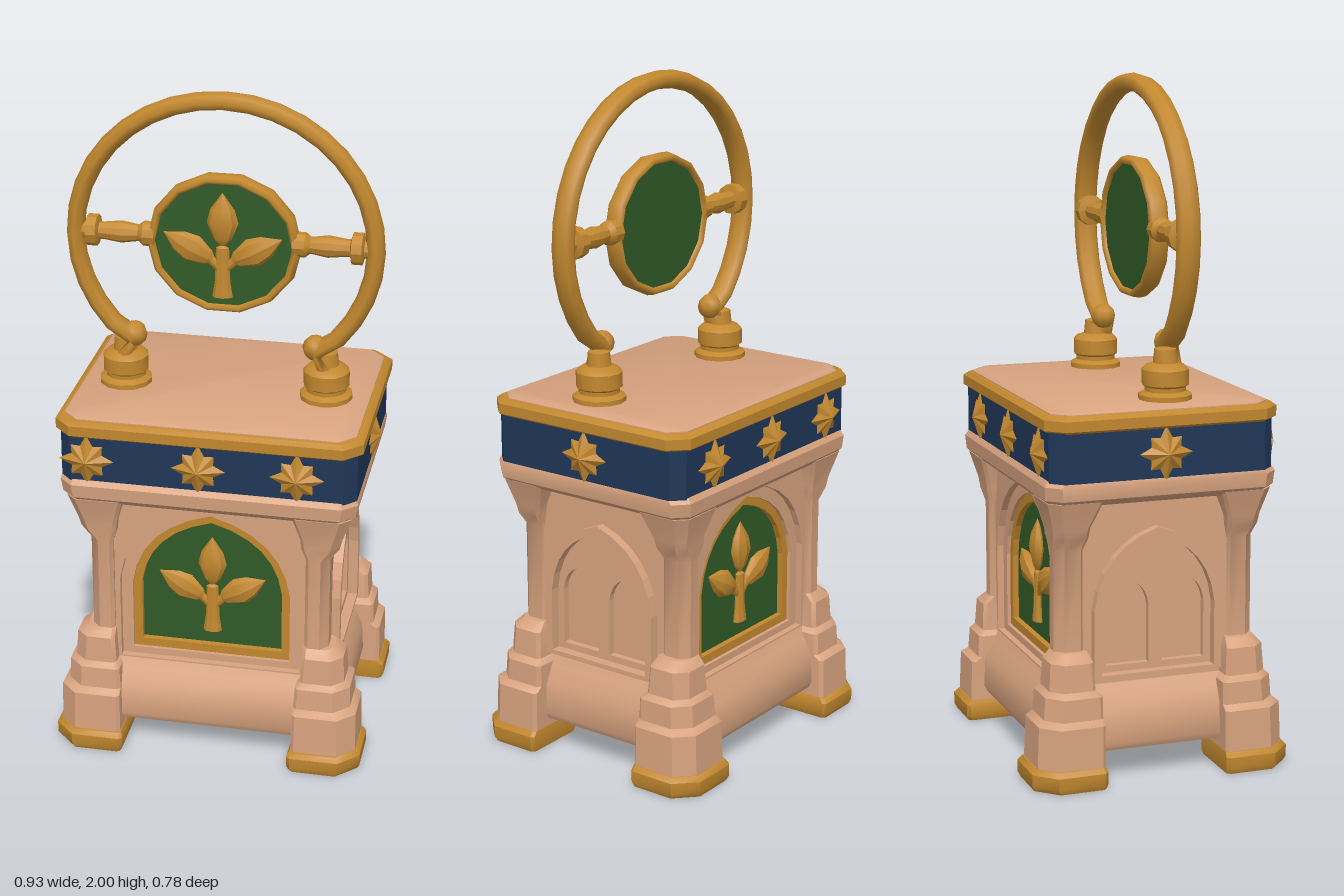
import * as THREE from 'three';
import { toCreasedNormals } from 'three/addons/utils/BufferGeometryUtils.js';

const mat = (name, color) => {
  const m = new THREE.MeshStandardMaterial({ color });
  m.name = name;
  return m;
};

export function createModel() {
  const stone = mat('pink stone', 0xd8a37f);
  const gold = mat('old gold', 0xc2882f);
  const green = mat('leaf green', 0x315a28);
  const blue = mat('deep blue', 0x1f3758);
  const model = new THREE.Group();
  model.name = 'shrine';

  const add = (name, geo, material, parent = model, x = 0, y = 0, z = 0) => {
    const mesh = new THREE.Mesh(geo, material);
    mesh.name = name;
    mesh.position.set(x, y, z);
    parent.add(mesh);
    return mesh;
  };
  const group = (name, parent = model) => {
    const g = new THREE.Group();
    g.name = name;
    parent.add(g);
    return g;
  };

  // Stacked chamfered rectangles: each section is [y, halfX, halfZ, chamfer, centreX, centreZ].
  // With outer = [signX, signZ] only that corner gets the full chamfer.
  const loft = (sections, outer) => {
    const pos = [], idx = [];
    for (const [y, hx, hz, c, cx = 0, cz = 0] of sections) {
      [[1, -1], [1, 1], [-1, 1], [-1, -1]].forEach(([sx, sz]) => {
        const k = !outer || (sx === outer[0] && sz === outer[1]) ? c : 0.01;
        const pair = [[sx * hx, sz * (hz - k)], [sx * (hx - k), sz * hz]];
        if (sx * sz < 0) pair.reverse();
        for (const [x, z] of pair) pos.push(x + cx, y, z + cz);
      });
    }
    const top = (sections.length - 1) * 8;
    for (let s = 0; s < top; s += 8) {
      for (let i = 0; i < 8; i++) {
        const a = s + i, b = s + (i + 1) % 8;
        idx.push(a, a + 8, b, b, a + 8, b + 8);
      }
    }
    for (let i = 1; i < 7; i++) idx.push(0, i, i + 1, top, top + i + 1, top + i);
    const g = new THREE.BufferGeometry();
    g.setAttribute('position', new THREE.Float32BufferAttribute(pos, 3));
    g.setIndex(idx);
    return toCreasedNormals(g, 0.6);
  };

  // Pointed arch outline
  const arch = (w, y0, spring, top, x = 0, Kind = THREE.Shape) => {
    const p = new Kind();
    const cy = spring + (top - spring) * 0.78;
    p.moveTo(x - w, y0);
    p.lineTo(x + w, y0);
    p.lineTo(x + w, spring);
    p.quadraticCurveTo(x + w * 0.9, cy, x, top);
    p.quadraticCurveTo(x - w * 0.9, cy, x - w, spring);
    p.closePath();
    return p;
  };
  const archHole = (w, y0, spring, top, x = 0) => arch(w, y0, spring, top, x, THREE.Path);
  const rect = (w, y0, y1) => new THREE.Shape([[-w, y0], [w, y0], [w, y1], [-w, y1]]
    .map(([x, y]) => new THREE.Vector2(x, y)));
  const slab = (shape, depth, holes = []) => {
    shape.holes.push(...holes);
    return new THREE.ExtrudeGeometry(shape, { depth, bevelEnabled: false, curveSegments: 6 });
  };
  const lathe = (pts, sides) => toCreasedNormals(
    new THREE.LatheGeometry(pts.map(([r, y]) => new THREE.Vector2(r, y)), sides), 0.6);

  // Eight-pointed raised star facing +z
  const starGeo = new THREE.ConeGeometry(1, 0.028, 16, 1, true);
  const sp = starGeo.attributes.position;
  for (let i = 0; i < sp.count; i++) {
    if (sp.getY(i) > 0) continue;
    const k = i % 17;
    const r = k % 2 ? 0.05 : k % 4 ? 0.068 : 0.083;
    sp.setX(i, sp.getX(i) * r);
    sp.setZ(i, sp.getZ(i) * r);
  }
  starGeo.rotateX(Math.PI / 2);
  const star = toCreasedNormals(starGeo, 0.1);

  // Three-leaved sprig
  const leafGeo = lathe([[0, 0], [0.024, 0.025], [0.043, 0.075], [0.033, 0.115], [0, 0.165]], 8);
  const stemGeo = lathe([[0, 0], [0.028, 0], [0.021, 0.05], [0.018, 0.15], [0, 0.16]], 8);
  const sprig = (parent, y, z) => {
    const g = group('sprig', parent);
    g.position.set(0, y, z);
    g.scale.z = 0.6;
    add('stem', stemGeo, gold, g);
    add('middleLeaf', leafGeo, gold, g, 0, 0.15, 0);
    for (const s of [-1, 1]) {
      add('sideLeaf', leafGeo, gold, g, s * 0.018, 0.105, 0).rotation.z = -s * 1.05;
      add('twig', new THREE.CylinderGeometry(0.014, 0.014, 0.06, 6), gold, g, s * 0.02, 0.1, 0)
        .rotation.z = -s * 0.8;
    }
  };

  // Corner feet, stepped buttresses and columns
  for (const sx of [-1, 1]) {
    for (const sz of [-1, 1]) {
      const corner = group('corner');
      const outer = [sx, sz];
      // outer edges ox, oz and half widths
      const at = (y, ox, oz, hx, hz, c) => [y, hx, hz, c, sx * (ox - hx), sz * (oz - hz)];
      add('foot', loft([at(0, 0.46, 0.385, 0.1, 0.1, 0.06), at(0.015, 0.467, 0.392, 0.107, 0.105, 0.06),
        at(0.05, 0.467, 0.392, 0.107, 0.105, 0.06), at(0.064, 0.455, 0.38, 0.098, 0.098, 0.055)], outer), gold, corner);
      add('buttress', loft([at(0.06, 0.452, 0.375, 0.095, 0.095, 0.05), at(0.185, 0.45, 0.37, 0.093, 0.093, 0.05),
        at(0.2, 0.43, 0.35, 0.083, 0.083, 0.045), at(0.265, 0.428, 0.345, 0.08, 0.08, 0.045),
        at(0.28, 0.41, 0.33, 0.065, 0.065, 0.035), at(0.36, 0.405, 0.325, 0.06, 0.06, 0.035),
        at(0.385, 0.375, 0.303, 0.045, 0.045, 0.025)], outer), stone, corner);
      add('column', loft([at(0.36, 0.358, 0.303, 0.035, 0.042, 0.025), at(0.68, 0.358, 0.303, 0.035, 0.042, 0.025),
        at(0.72, 0.385, 0.312, 0.055, 0.05, 0.025), at(0.75, 0.393, 0.315, 0.06, 0.053, 0.025),
        at(0.83, 0.42, 0.338, 0.085, 0.08, 0.03)], outer), stone, corner);
    }
  }

  // Body
  add('plinth', loft([[0.09, 0.39, 0.325, 0.03], [0.11, 0.4, 0.335, 0.03], [0.2, 0.395, 0.33, 0.03],
    [0.25, 0.37, 0.3, 0.03], [0.28, 0.355, 0.285, 0.03]]), stone);
  add('core', loft([[0.25, 0.31, 0.225, 0.02], [0.84, 0.31, 0.225, 0.02]]), stone);
  add('cornice', loft([[0.81, 0.37, 0.295, 0.03], [0.82, 0.405, 0.325, 0.03], [0.84, 0.432, 0.345, 0.04],
    [0.88, 0.438, 0.348, 0.04], [0.895, 0.432, 0.338, 0.04]]), stone);
  add('band', loft([[0.89, 0.434, 0.336, 0.035], [1.04, 0.434, 0.336, 0.035]]), blue);
  add('trim', loft([[1.032, 0.436, 0.338, 0.045], [1.04, 0.449, 0.35, 0.05],
    [1.07, 0.449, 0.35, 0.05], [1.081, 0.434, 0.336, 0.045]]), gold);
  add('topSlab', loft([[1.06, 0.426, 0.326, 0.045], [1.084, 0.426, 0.326, 0.045], [1.091, 0.415, 0.315, 0.04]]), stone);

  // Front and back: recessed arched panel with sprig, and three stars
  for (const front of [true, false]) {
    const face = group(front ? 'frontFace' : 'backFace');
    face.rotation.y = front ? 0 : Math.PI;
    add('wall', slab(rect(0.335, 0.25, 0.83), 0.075, [archHole(0.272, 0.285, 0.55, 0.815)]), stone, face, 0, 0, 0.21);
    add('archReveal', slab(arch(0.274, 0.283, 0.55, 0.817), 0.055,
      [archHole(0.238, 0.307, 0.53, 0.776)]), stone, face, 0, 0, 0.21);
    add('panel', slab(arch(0.238, 0.305, 0.53, 0.776), 0.008), green, face, 0, 0, 0.228);
    add('panelFrame', slab(arch(0.24, 0.305, 0.53, 0.778), 0.037,
      [archHole(0.212, 0.333, 0.53, 0.748)]), gold, face, 0, 0, 0.217);
    sprig(face, 0.38, 0.242);
    const xs = front ? [-0.35, -0.022, 0.265] : [-0.265, 0.022, 0.31];
    for (const x of xs) add('star', star, gold, face, x, 0.96, 0.349);
  }

  // Sides: projecting blind niche with twin lancets, and one star
  for (const turn of [-1, 1]) {
    const face = group(turn > 0 ? 'leftFace' : 'rightFace');
    face.rotation.y = turn * Math.PI / 2;
    const opening = () => archHole(0.172, 0.31, 0.5, 0.71);
    add('wall', slab(rect(0.27, 0.26, 0.83), 0.045, [opening()]), stone, face, 0, 0, 0.305);
    add('nicheMoulding', slab(arch(0.195, 0.3, 0.5, 0.735), 0.073, [opening()]), stone, face, 0, 0, 0.305);
    add('tracery', slab(arch(0.173, 0.305, 0.5, 0.711), 0.04,
      [-1, 1].map((s) => archHole(0.065, 0.33, 0.5, 0.58, s * 0.085))), stone, face, 0, 0, 0.308);
    add('lancetBacks', slab(rect(0.16, 0.32, 0.59), 0.02), stone, face, 0, 0, 0.308);
    add('star', star, gold, face, 0, 0.96, 0.447);
  }

  // Open hoop
  const hoopZ = 0.062;
  const path = [[0.3, 1.18], [0.265, 1.235]];
  for (let i = 0; i <= 16; i++) {
    const a = THREE.MathUtils.degToRad(-43 + i * 266 / 16);
    path.push([0.437 * Math.cos(a), 1.556 + 0.418 * Math.sin(a)]);
  }
  path.push([-0.265, 1.235], [-0.3, 1.18]);
  const curve = new THREE.CatmullRomCurve3(path.map(([x, y]) => new THREE.Vector3(x, y, 0)));
  const hoop = add('hoop', new THREE.TubeGeometry(curve, 30, 0.027, 8), gold, model, 0, 0, hoopZ);
  hoop.scale.z = 1.35;

  // Stands and pivots
  const standGeo = lathe([[0, 0], [0.078, 0], [0.078, 0.02], [0.06, 0.03], [0.06, 0.042], [0.068, 0.048],
    [0.068, 0.092], [0.056, 0.104], [0.036, 0.11], [0.032, 0.15], [0, 0.16]], 12);
  const pivotGeo = lathe([[0, 0.2], [0.036, 0.2], [0.036, 0.235], [0.024, 0.25], [0.032, 0.3], [0.025, 0.355],
    [0.026, 0.365], [0.046, 0.37], [0.046, 0.4], [0.026, 0.405], [0.022, 0.43], [0, 0.43]], 10);
  for (const s of [-1, 1]) {
    add('stand', standGeo, gold, model, s * 0.3, 1.085, 0.047);
    add('hoopKnuckle', new THREE.SphereGeometry(0.038, 8, 6), gold, model, s * 0.268, 1.25, hoopZ);
    add('pivot', pivotGeo, gold, model, 0, 1.565, hoopZ).rotation.z = -s * Math.PI / 2;
  }

  // Hanging medallion
  const medallion = group('medallion');
  medallion.position.set(0, 1.553, hoopZ);
  medallion.scale.x = 1.07;
  add('disc', new THREE.CylinderGeometry(0.197, 0.197, 0.036, 14).rotateX(Math.PI / 2), green, medallion);
  add('rim', new THREE.TorusGeometry(0.197, 0.014, 8, 14), gold, medallion).scale.z = 2.2;
  sprig(medallion, -0.155, 0.026);

  return model;
}
